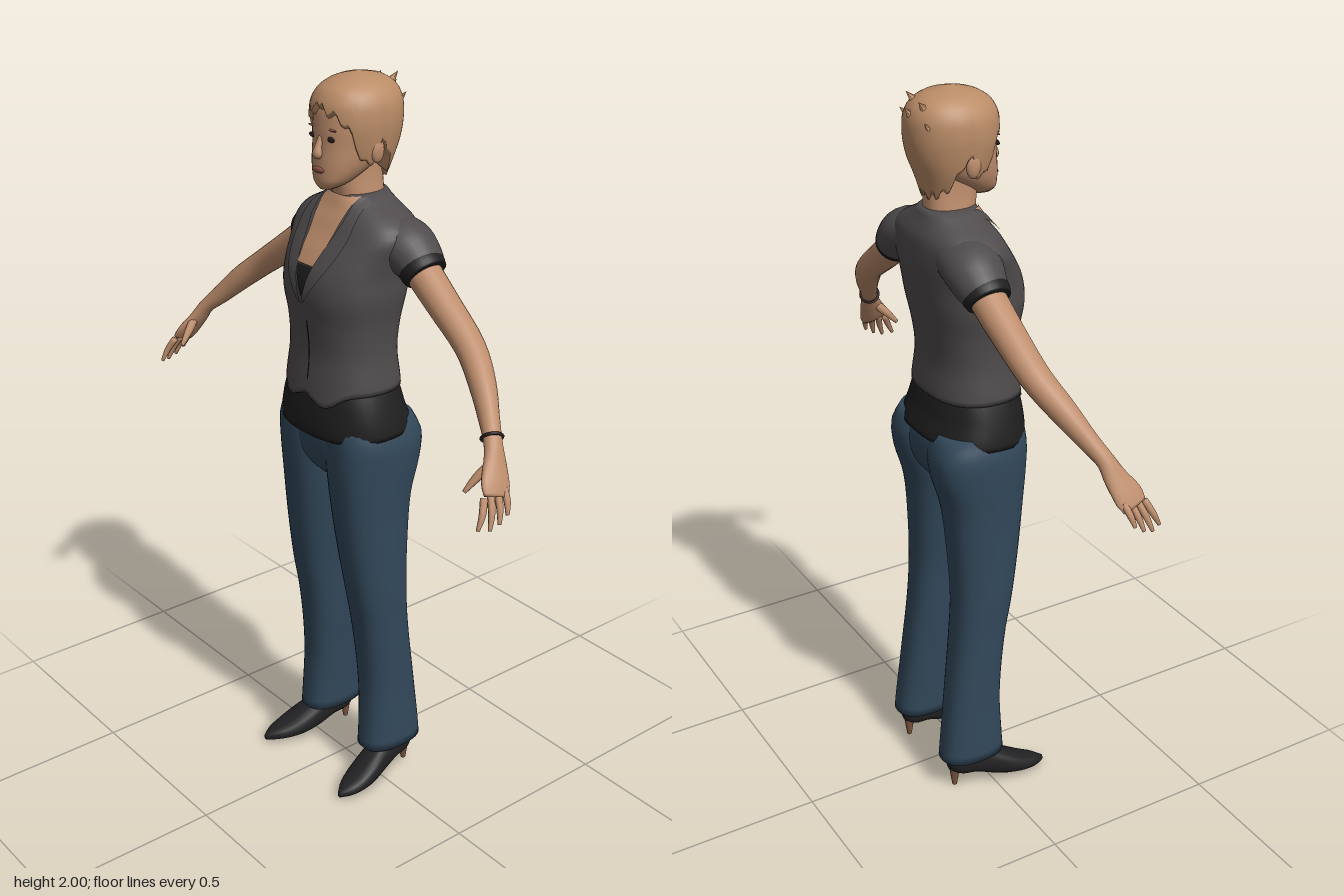
import * as THREE from 'three';

const mat = (name, color, side = THREE.FrontSide) =>
  Object.assign(new THREE.MeshStandardMaterial({ color, side }), { name });
const M = {
  skin: mat('skin', 0xbd8d6c),
  hair: mat('hair', 0xba8c67, THREE.DoubleSide),
  shirt: mat('grey shirt', 0x4f4b4c),
  black: mat('black cloth', 0x1f1e1f),
  jeans: mat('blue denim', 0x32485a),
  shoe: mat('shoe leather', 0x222123),
  sole: mat('brown sole', 0x7c563f),
  lip: mat('lips', 0x95594b),
  eye: mat('dark eye', 0x2c201c),
};

// Skin a grid of points; closed rings may be capped at both ends
function skinGrid(rows, closed = true) {
  const n = rows[0].length, m = rows.length, idx = [];
  const pts = rows.flat();
  for (let i = 0; i < m - 1; i++)
    for (let j = 0; j < (closed ? n : n - 1); j++) {
      const k = (j + 1) % n, a = i * n + j, b = i * n + k;
      idx.push(a, b, a + n, b, b + n, a + n);
    }
  if (closed) for (const end of [0, m - 1]) {
    const c = pts.length, mid = new THREE.Vector3();
    rows[end].forEach(p => mid.addScaledVector(p, 1 / n));
    pts.push(mid);
    for (let j = 0; j < n; j++) {
      const a = end * n + j, b = end * n + (j + 1) % n;
      if (end) idx.push(c, a, b); else idx.push(c, b, a);
    }
  }
  const g = new THREE.BufferGeometry().setFromPoints(pts);
  g.setIndex(idx);
  g.computeVertexNormals();
  return g;
}

const spow = (v, e) => Math.sign(v) * Math.pow(Math.abs(v), e);
const spline = (keys, rows) => {
  const f = new THREE.CubicInterpolant(keys, rows.flat(), rows[0].length);
  return t => Array.from(f.evaluate(t));
};

// Body of level sections; rows are [y, centre x, half width, front z, back z]
function body(table, p = 2.3) {
  const f = spline(table.map(r => r[0]), table.map(r => r.slice(1)));
  const lo = table[0][0], hi = table[table.length - 1][0];
  const at = (y, a) => {
    const [cx, rx, zf, zb] = f(y);
    return new THREE.Vector3(cx + rx * spow(Math.sin(a), 2 / p), y,
      (zf + zb) / 2 + (zf - zb) / 2 * spow(Math.cos(a), 2 / p));
  };
  const frontZ = (x, y) => {
    const [cx, rx, zf, zb] = f(y), q = Math.min(1, Math.abs((x - cx) / rx));
    return (zf + zb) / 2 + (zf - zb) / 2 * Math.pow(1 - Math.pow(q, p), 1 / p);
  };
  const geo = (low = () => lo, rows = 36, seg = 48) => skinGrid(
    Array.from({ length: rows + 1 }, (_, i) => Array.from({ length: seg }, (_, j) => {
      const a = j / seg * Math.PI * 2, d = Math.min(a, 2 * Math.PI - a);
      return at(THREE.MathUtils.lerp(low(d), hi, i / rows), a);
    })));
  // Thin panel lying on the front, between x0(t) and x1(t)
  const plate = (y0, y1, x0, x1, off) => skinGrid(
    Array.from({ length: 25 }, (_, i) => Array.from({ length: 13 }, (_, j) => {
      const t = i / 24, y = THREE.MathUtils.lerp(y0, y1, t), w = f(y)[1] * 0.97;
      const x = THREE.MathUtils.clamp(THREE.MathUtils.lerp(x0(t), x1(t), j / 12), -w, w);
      return new THREE.Vector3(x, y, frontZ(x, y) + off);
    })), false);
  return { geo, plate, frontZ };
}

// Limb along a path; rows are [x, y, z, thickness radius, front-back radius]
function limb(rows, seg = 16) {
  const f = spline(rows.map((_, i) => i), rows), m = (rows.length - 1) * 4;
  const pos = t => new THREE.Vector3(...f(t));
  return skinGrid(Array.from({ length: m + 1 }, (_, i) => {
    const t = i / 4, e = 0.05, [, , , ru, rv] = f(t);
    const dir = pos(Math.min(t + e, m / 4)).sub(pos(Math.max(t - e, 0))).normalize();
    const v = new THREE.Vector3(0, 0, 1).addScaledVector(dir, -dir.z).normalize();
    const u = v.clone().cross(dir);
    return Array.from({ length: seg }, (_, j) => {
      const a = j / seg * Math.PI * 2;
      return pos(t).addScaledVector(u, ru * Math.cos(a)).addScaledVector(v, rv * Math.sin(a));
    });
  }));
}

const blob = (x, y, z, sx, sy, sz) =>
  new THREE.SphereGeometry(1, 16, 12).scale(sx, sy, sz).translate(x, y, z);

export function createModel() {
  const root = new THREE.Group();
  root.name = 'standingWoman';
  const add = (name, g, m) => {
    const mesh = new THREE.Mesh(g, m);
    mesh.name = name;
    root.add(mesh);
  };
  // The part as given is the left one; the right one is its mirror image
  const pair = (name, g, m) => {
    add('left' + name, g, m);
    const r = g.clone().scale(-1, 1, 1);
    r.setIndex(Array.from(g.index.array).reverse());
    add('right' + name, r, m);
  };

  // Shirt with dipping hem, neckline and lapels
  const shirt = body([
    [1.16, 0, .168, .139, -.12], [1.22, 0, .165, .132, -.116], [1.30, 0, .155, .124, -.108],
    [1.38, 0, .157, .13, -.118], [1.46, 0, .17, .141, -.135], [1.52, 0, .172, .132, -.145],
    [1.57, 0, .183, .105, -.15], [1.61, 0, .195, .077, -.148], [1.645, 0, .175, .056, -.143],
    [1.67, 0, .13, .04, -.13], [1.69, 0, .088, .03, -.12], [1.705, 0, .066, .022, -.114]], 2.4);
  add('shirt', shirt.geo(a => 1.205 - .04 * Math.exp(-(((a - .35) / .35) ** 2))), M.shirt);
  const half = t => .034 + .028 * t;
  add('chestSkin', shirt.plate(1.535, 1.702, t => -half(t), half, .005), M.skin);
  add('camisole', shirt.plate(1.455, 1.538, t => -.036 * t, t => .036 * t, .005), M.black);
  pair('Lapel', shirt.plate(1.44, 1.7, t => .002 + .06 * Math.min(1, t * 1.25),
    t => .01 + .09 * Math.sin(t * 2.2), .008), M.shirt);
  add('placket', shirt.plate(1.23, 1.39, () => .006, () => .011, .003), M.black);

  // Dark undershirt band
  add('undershirt', body([
    [1.075, 0, .194, .139, -.146], [1.10, 0, .192, .14, -.142], [1.15, 0, .18, .136, -.124],
    [1.2, 0, .163, .127, -.112], [1.23, 0, .15, .115, -.1]], 2.4).geo(
    a => 1.075 + .02 * (1 - Math.cos(a)) / 2, 12), M.black);

  // Jeans
  add('jeansHips', body([
    [.93, 0, .05, .06, -.07], [.96, 0, .12, .09, -.105], [1.0, 0, .175, .11, -.13],
    [1.06, 0, .188, .118, -.14], [1.12, 0, .175, .118, -.13]]).geo(undefined, 16), M.jeans);
  pair('JeansLeg', body([
    [.1, .133, .063, .044, -.148], [.15, .132, .063, .04, -.143], [.3, .126, .065, .034, -.125],
    [.5, .119, .07, .052, -.102], [.6, .118, .073, .07, -.096], [.75, .11, .082, .092, -.1],
    [.9, .102, .092, .108, -.115], [1.0, .1, .098, .117, -.144], [1.07, .099, .098, .119, -.147],
    [1.12, .09, .088, .115, -.125]], 2.5).geo(undefined, 40, 32), M.jeans);

  // Pointed heeled shoes; rows are [z, centre x, centre y, half width, half height]
  const shoeRows = [[-.125, .135, .088, .02, .03], [-.1, .137, .084, .034, .042],
    [-.05, .142, .078, .038, .045], [0, .148, .06, .041, .046], [.05, .157, .041, .045, .037],
    [.1, .166, .027, .04, .024], [.14, .173, .02, .025, .016], [.165, .177, .015, .006, .008]];
  const shoeAt = spline(shoeRows.map(r => r[0]), shoeRows.map(r => r.slice(1)));
  const along = Array.from({ length: 25 }, (_, i) => -.125 + .29 * i / 24);
  pair('Shoe', skinGrid(along.map(z => {
    const [cx, cy, rx, ry] = shoeAt(z);
    return Array.from({ length: 20 }, (_, j) => {
      const a = j / 20 * Math.PI * 2;
      return new THREE.Vector3(cx + rx * spow(Math.cos(a), .85), cy + ry * spow(Math.sin(a), .85), z);
    });
  })), M.shoe);
  pair('Sole', skinGrid(along.map(z => {
    const [cx, cy, rx, ry] = shoeAt(z);
    return [-.8, 0, .8].map(u => new THREE.Vector3(cx + u * rx, Math.max(.001, cy - ry - .002), z));
  }), false), M.sole);
  pair('Heel', new THREE.CylinderGeometry(.016, .007, .062, 12).translate(.136, .031, -.108), M.sole);

  // Sleeves, cuffs, arms and hands
  pair('Sleeve', limb([[.09, 1.605, -.06, .06, .075], [.155, 1.59, -.066, .066, .078],
    [.195, 1.565, -.068, .062, .071], [.228, 1.54, -.066, .054, .06]], 24), M.shirt);
  pair('Cuff', limb([[.2, 1.56, -.067, .054, .06], [.222, 1.544, -.066, .057, .063],
    [.238, 1.531, -.066, .053, .058]], 24), M.black);
  pair('Arm', limb([[.17, 1.58, -.068, .045, .047], [.23, 1.532, -.065, .044, .047],
    [.31, 1.475, -.06, .041, .044], [.42, 1.4, -.05, .036, .04], [.5, 1.335, -.02, .033, .034],
    [.56, 1.275, .012, .026, .026], [.6, 1.235, .035, .02, .024], [.625, 1.195, .05, .017, .032],
    [.65, 1.155, .07, .014, .041], [.665, 1.13, .08, .01, .036]], 20), M.skin);
  const tips = [[.691, 1.088, .066], [.692, 1.071, .092], [.689, 1.062, .12], [.677, 1.066, .148]];
  tips.forEach(([x, y, z], k) => {
    const b = [.658, 1.145 - .004 * k, .05 + .021 * k];
    pair('Finger' + (k + 1), limb([[...b, .009, .01],
      [(b[0] + x) / 2 + .005, (b[1] + y) / 2, (b[2] + z) / 2, .008, .009],
      [x, y, z, .004, .005]], 8), M.skin);
  });
  pair('Thumb', limb([[.625, 1.195, .065, .013, .014], [.612, 1.165, .095, .011, .012],
    [.602, 1.132, .125, .005, .006]], 8), M.skin);
  const bracelet = new THREE.TorusGeometry(.026, .004, 6, 24).applyQuaternion(
    new THREE.Quaternion().setFromUnitVectors(new THREE.Vector3(0, 0, 1),
      new THREE.Vector3(.62, -.66, .38).normalize()));
  add('bracelet', bracelet.translate(.592, 1.243, .031), M.eye);

  // Neck and head
  add('neck', body([[1.6, 0, .07, .03, -.11], [1.68, 0, .06, .025, -.108],
    [1.74, 0, .052, .032, -.106], [1.8, 0, .05, .03, -.1]]).geo(undefined, 12, 32), M.skin);
  const head = body([[1.722, 0, .018, .078, .03], [1.735, 0, .04, .086, .005],
    [1.76, 0, .06, .088, -.04], [1.79, 0, .074, .087, -.085], [1.83, 0, .083, .083, -.12],
    [1.88, 0, .089, .08, -.135], [1.93, 0, .085, .068, -.13], [1.97, 0, .055, .03, -.1]], 2.2);
  add('head', head.geo(undefined, 28, 40), M.skin);
  add('nose', limb([[0, 1.855, .076, .008, .006], [0, 1.83, .086, .01, .01],
    [0, 1.812, .089, .014, .013], [0, 1.803, .085, .009, .006]], 12), M.skin);
  add('lips', blob(0, 1.773, head.frontZ(0, 1.773), .024, .008, .005), M.lip);
  pair('Eye', blob(.035, 1.852, head.frontZ(.035, 1.852), .015, .007, .004), M.eye);
  pair('Eyebrow', blob(.037, 1.875, head.frontZ(.037, 1.875), .018, .003, .004), M.lip);
  pair('Ear', blob(.093, 1.822, -.025, .012, .032, .02), M.skin);

  // Short hair with a ragged fringe, low at the nape
  const hair = body([[1.72, 0, .058, .03, -.108], [1.78, 0, .088, .06, -.125],
    [1.84, 0, .102, .083, -.148], [1.9, 0, .107, .088, -.156], [1.945, 0, .098, .079, -.15],
    [1.975, 0, .074, .052, -.128], [1.993, 0, .04, .008, -.09], [2.0, 0, .006, -.035, -.047]], 2.1);
  const line = spline([0, .5, .8, 1.1, 1.35, 1.6, 2.1, Math.PI],
    [1.93, 1.91, 1.88, 1.80, 1.79, 1.84, 1.765, 1.735].map(y => [y]));
  add('hair', hair.geo(a => line(a)[0] + .011 * Math.sin(a * 17), 24, 72), M.hair);
  [[.03, 1.975, -.125], [-.035, 1.965, -.13], [.0, 1.945, -.148], [.06, 1.93, -.125],
    [-.06, 1.92, -.13]].forEach(([x, y, z], i) => {
    const tuft = new THREE.ConeGeometry(.017, .045, 6).rotateX(-.7).rotateZ(-x * 6);
    add('hairTuft' + (i + 1), tuft.translate(x, y, z), M.hair);
  });
  return root;
}
